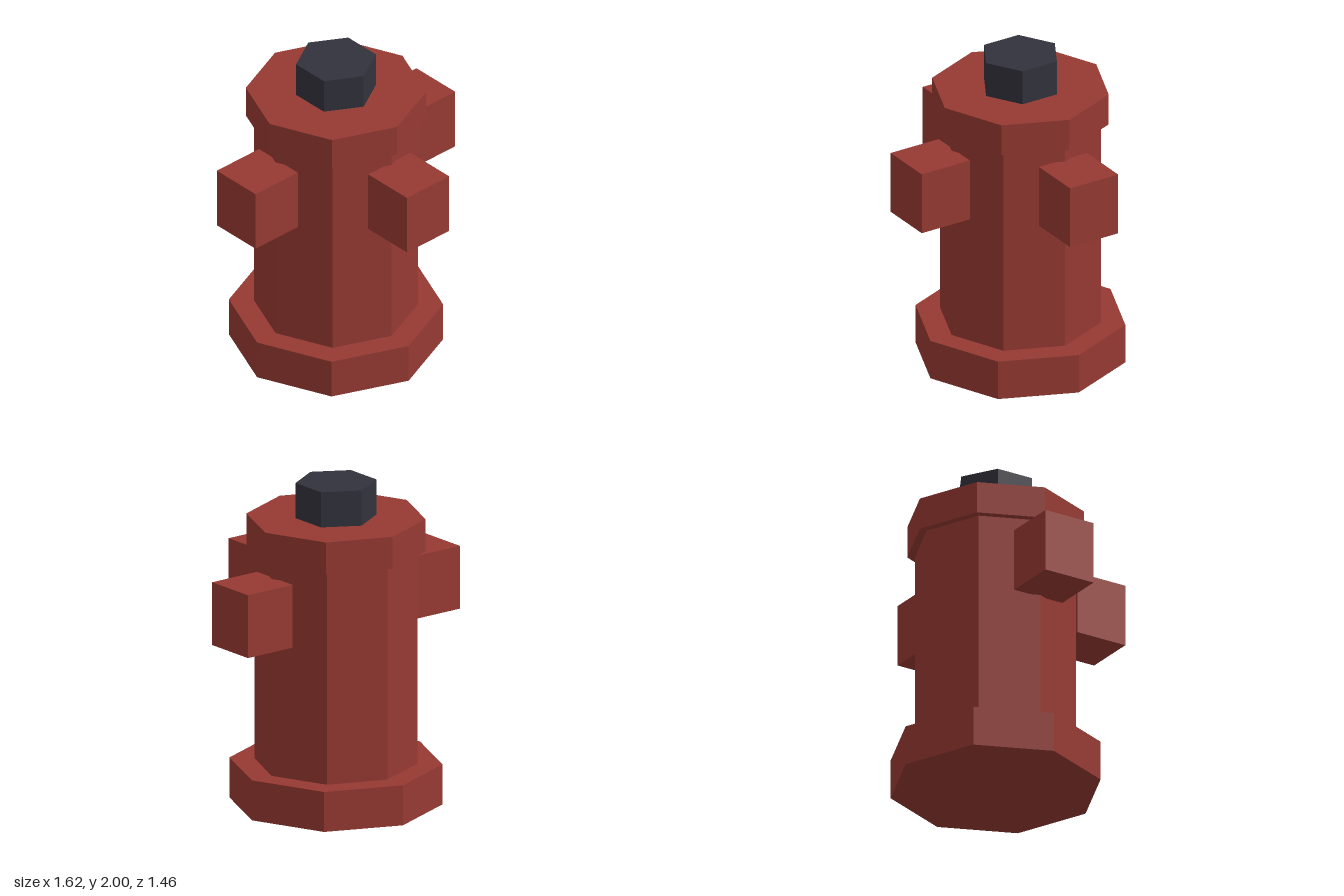
import * as THREE from 'three';

export function createModel() {
  const model = new THREE.Group();
  model.name = 'fireHydrant';
  const red = new THREE.MeshStandardMaterial({ color: 0x963932 });
  red.name = 'hydrantRed';
  const dark = new THREE.MeshStandardMaterial({ color: 0x31323c });
  dark.name = 'darkIron';

  const axisZ = -0.087; // barrel axis sits behind centre because of the front outlet

  function add(name, geometry, material, x, y, z) {
    const mesh = new THREE.Mesh(geometry, material);
    mesh.name = name;
    mesh.position.set(x, y, z);
    model.add(mesh);
  }

  // Faceted prism with a corner facing the front; un-shared vertices give flat normals
  function prism(name, radius, bottom, top, sides, material) {
    const geometry = new THREE.CylinderGeometry(radius, radius, top - bottom, sides).toNonIndexed();
    geometry.computeVertexNormals();
    add(name, geometry, material, 0, (bottom + top) / 2, axisZ);
  }

  // Stacked barrel
  prism('base', 0.642, 0, 0.25, 8, red);
  prism('barrel', 0.492, 0.25, 1.58, 8, red);
  prism('cap', 0.54, 1.58, 1.78, 8, red);
  prism('topNut', 0.245, 1.78, 2, 6, dark);

  // Three square outlets: left, right and front
  const outlet = new THREE.BoxGeometry(0.343, 0.393, 0.343);
  const reach = 0.64;
  add('leftOutlet', outlet, red, reach, 1.285, axisZ);
  add('rightOutlet', outlet, red, -reach, 1.285, axisZ);
  add('frontOutlet', outlet, red, 0, 1.285, axisZ + reach + 0.003);

  return model;
}
